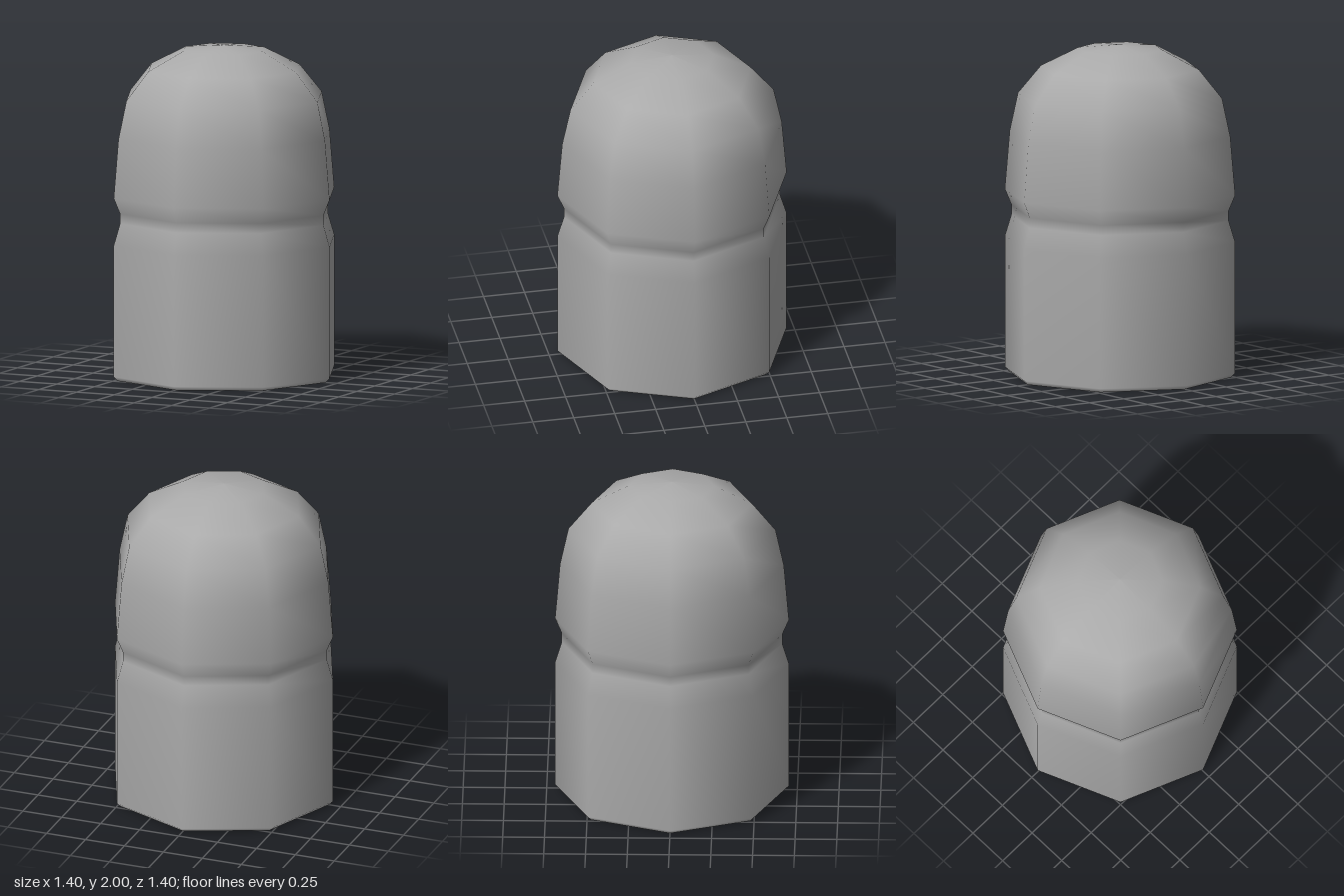
import * as THREE from 'three';

const SIDES = 8;

export function createModel() {
  const group = new THREE.Group();
  group.name = 'domedPost';
  const grey = new THREE.MeshStandardMaterial({ color: 0xaaaaaa });
  grey.name = 'plain grey';

  // Body: bevelled foot, straight shaft, waist groove and rounded dome (radius, height)
  const profile = [
    [0.675, 0], [0.70, 0.025], [0.70, 0.82], [0.66, 0.95], [0.66, 1.01],
    [0.70, 1.105], [0.67, 1.46], [0.62, 1.69], [0.48, 1.86], [0.255, 1.975], [0, 2],
  ].map(([r, y]) => new THREE.Vector2(r, y));
  const body = new THREE.Mesh(new THREE.LatheGeometry(profile, SIDES), grey);
  body.name = 'body';
  group.add(body);

  // Flat underside, kept separate so its edge stays sharp
  const underside = new THREE.Mesh(
    new THREE.CircleGeometry(0.675, SIDES).rotateX(Math.PI / 2), grey);
  underside.name = 'underside';
  group.add(underside);

  return group;
}
